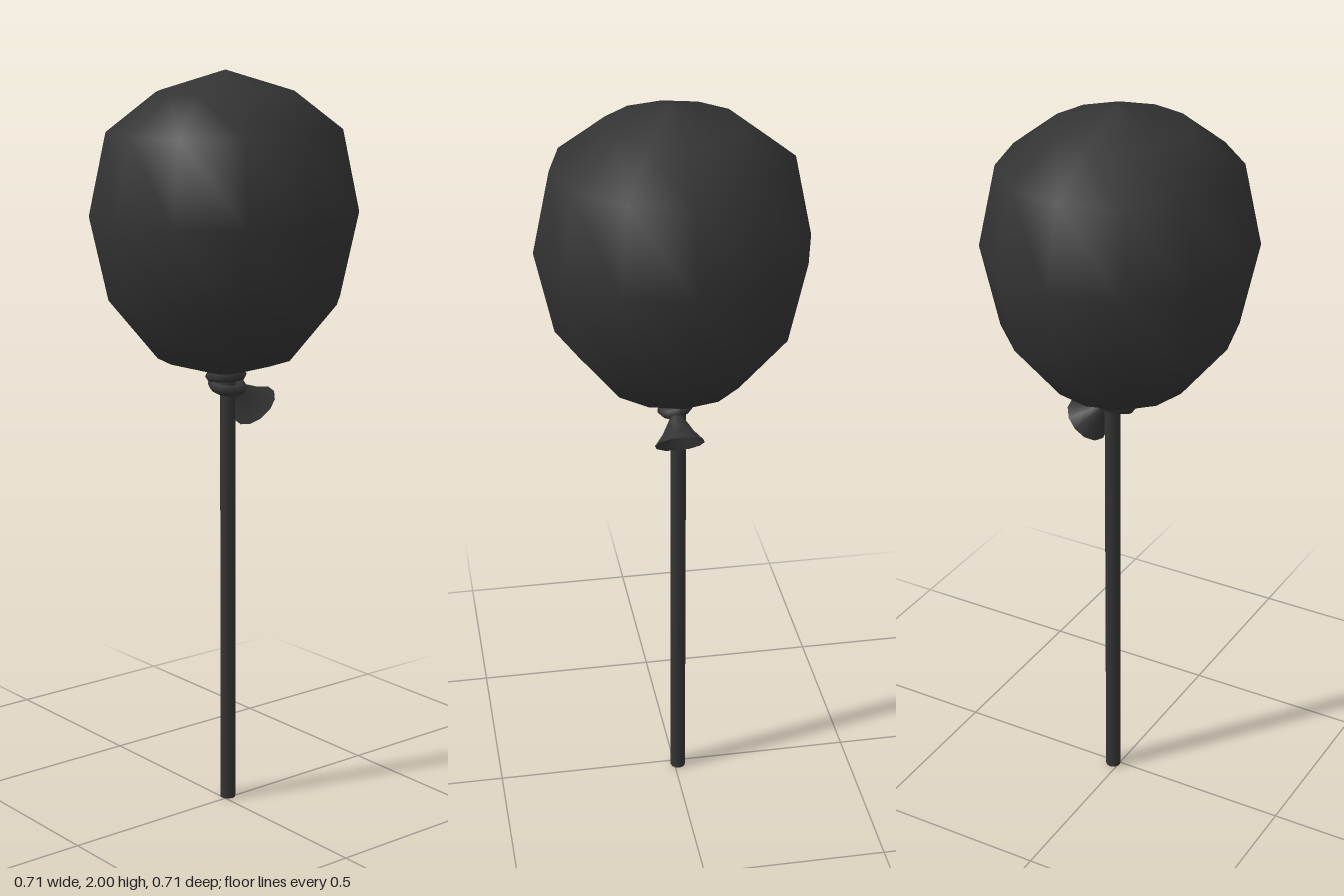
import * as THREE from 'three';

export function createModel() {
  const group = new THREE.Group();
  const rubber = new THREE.MeshStandardMaterial({ color: 0x333333 });
  const thin = new THREE.MeshStandardMaterial({ color: 0x333333, side: THREE.DoubleSide });

  const add = (name, geometry, material = rubber) => {
    const mesh = new THREE.Mesh(geometry, material);
    mesh.name = name;
    group.add(mesh);
    return mesh;
  };

  // Twelve-sided balloon, smooth shaded, from bottom pole to top pole
  const profile = [[0, 1.2], [0.18, 1.253], [0.308, 1.41], [0.356, 1.63], [0.31, 1.845], [0.18, 1.945], [0, 2]]
    .map(([r, y]) => new THREE.Vector2(r, y));
  add('balloon', new THREE.LatheGeometry(profile, 12));

  // Straight stick, slightly off the balloon's axis
  add('stick', new THREE.CylinderGeometry(0.021, 0.021, 1.2, 12)).position.set(-0.01, 0.6, -0.017);

  // Two tilted rubber bands that form the knot
  for (const [name, x, y, radius, tilt] of [
    ['upperKnotRing', -0.01, 1.2, 0.042, 0.08],
    ['lowerKnotRing', -0.004, 1.174, 0.036, -0.3],
  ]) {
    const ring = add(name, new THREE.TorusGeometry(radius, 0.015, 6, 12).rotateX(Math.PI / 2));
    ring.position.set(x, y, -0.01);
    ring.scale.z = radius < 0.04 ? 1.07 : 0.97;
    ring.rotation.z = tilt;
  }

  // Open flared tail hanging behind the knot, built along its own axis
  const flare = [[0.01, 0], [0.022, 0.03], [0.042, 0.065], [0.066, 0.094]]
    .map(([r, y]) => new THREE.Vector2(r, y));
  const tail = add('tail', new THREE.LatheGeometry(flare, 12), thin);
  tail.position.set(0, 1.175, -0.035);
  tail.quaternion.setFromUnitVectors(new THREE.Vector3(0, 1, 0), new THREE.Vector3(0, -0.72, -0.69).normalize());

  return group;
}
